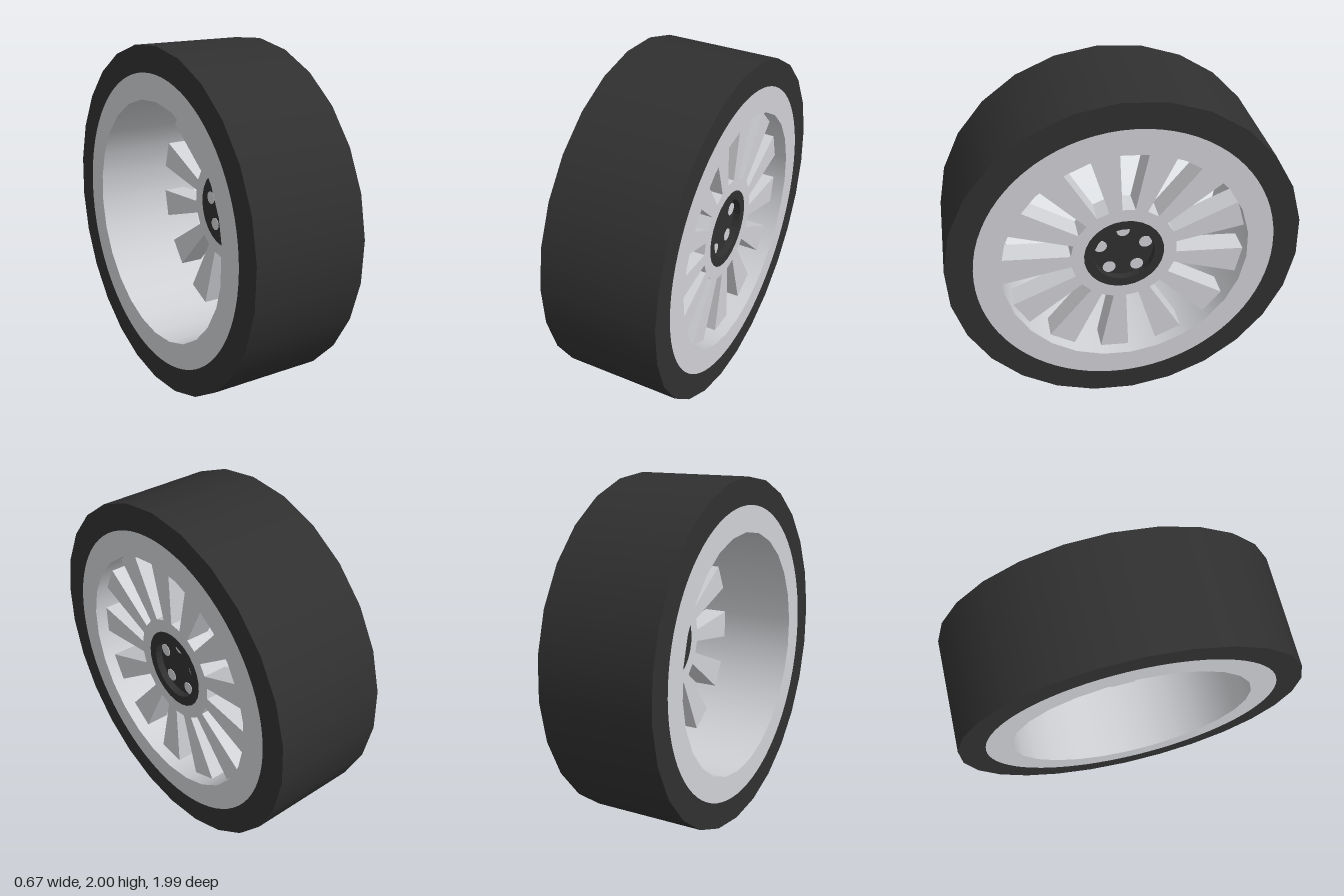
import * as THREE from 'three';

const SIDES = 26, STEP = Math.PI * 2 / SIDES, START = 0.04; // facets of the wheel
const HALF = 0.335;                                         // half tyre width
const FRONT = 0.26, BACK = 0.118, FLOOR = 0.218;            // wheel disc depths

// point at radius r, angle t measured from +y towards +z, in a plane later turned to face +x
const polar = (r, t) => new THREE.Vector2(-r * Math.sin(t), r * Math.cos(t));
const ring = (r, n = SIDES) =>
  Array.from({ length: n }, (_, i) => polar(r, START + i * Math.PI * 2 / n));

// flat annulus shape from two outlines
function annulus(outer, inner) {
  const shape = new THREE.Shape(outer);
  shape.holes.push(new THREE.Path(inner));
  return shape;
}

// lathe around the x axis; profile is [radius, x] pairs
function turned(profile, flat = false) {
  let geo = new THREE.LatheGeometry(
    profile.map(([r, x]) => new THREE.Vector2(r, x)), SIDES, START - Math.PI / 2);
  geo.rotateZ(-Math.PI / 2);
  if (flat) {
    geo = geo.toNonIndexed();
    geo.computeVertexNormals();
  }
  return geo;
}

export function createModel() {
  const rubber = new THREE.MeshStandardMaterial({ color: 0x303030 });
  rubber.name = 'black rubber';
  const alloy = new THREE.MeshStandardMaterial({ color: 0xd0d1d5 });
  alloy.name = 'silver alloy';

  const wheel = new THREE.Group();
  wheel.name = 'wheel';
  wheel.position.y = 1;
  const add = (name, geo, mat) => {
    const mesh = new THREE.Mesh(geo, mat);
    mesh.name = name;
    wheel.add(mesh);
    return mesh;
  };

  // smooth tread outside, smooth barrel inside
  add('tyreTread', turned([[1, -HALF], [1, HALF]]), rubber);
  add('rimBarrel', turned([[0.7, HALF], [0.7, -HALF]]), alloy);

  // flat sidewalls and rim flanges on both sides
  const sidewall = annulus(ring(1), ring(0.847, SIDES * 3));
  const flange = annulus(ring(0.847, SIDES * 3), ring(0.7));
  for (const side of [1, -1]) {
    for (const [name, shape, mat] of [['tyreSidewall', sidewall, rubber], ['rimFlange', flange, alloy]]) {
      const s = side === 1 ? shape : mirrored(shape);
      const geo = new THREE.ShapeGeometry(s);
      geo.rotateY(side * Math.PI / 2);
      geo.translate(side * HALF, 0, 0);
      add(name, geo, mat);
    }
  }

  // thirteen spokes growing out of the hub ring
  const outline = [];
  for (let i = 0; i < SIDES; i += 2) {
    const a = START + i * STEP, b = a + STEP;
    outline.push(polar(0.305, a), polar(0.7, a), polar(0.7, b), polar(0.305, b));
  }
  const spokes = new THREE.ExtrudeGeometry(annulus(outline, ring(0.23)),
    { depth: FRONT - BACK, bevelEnabled: false });
  spokes.rotateY(Math.PI / 2);
  spokes.translate(BACK, 0, 0);
  add('spokes', spokes, alloy);

  // hub with a shallow recess in front
  add('hub', turned([[0, BACK], [0.23, BACK], [0.23, FRONT], [0.175, FRONT],
    [0.175, FLOOR], [0, FLOOR]], true), rubber);

  // five bolt spots on each side of the hub
  for (let i = 0; i < 5; i++) {
    const t = i * Math.PI * 2 / 5;
    for (const x of [FLOOR, BACK]) {
      const bolt = new THREE.CylinderGeometry(0.038, 0.038, 0.006, 16);
      bolt.rotateZ(-Math.PI / 2);
      add('wheelBolt', bolt, alloy).position.set(x, 0.137 * Math.cos(t), 0.137 * Math.sin(t));
    }
  }

  const model = new THREE.Group();
  model.name = 'carWheel';
  model.add(wheel);
  return model;
}

// same shape flipped left to right
function mirrored(shape) {
  const flip = (pts) => pts.map((p) => new THREE.Vector2(-p.x, p.y));
  return annulus(flip(shape.getPoints()), flip(shape.holes[0].getPoints()));
}
